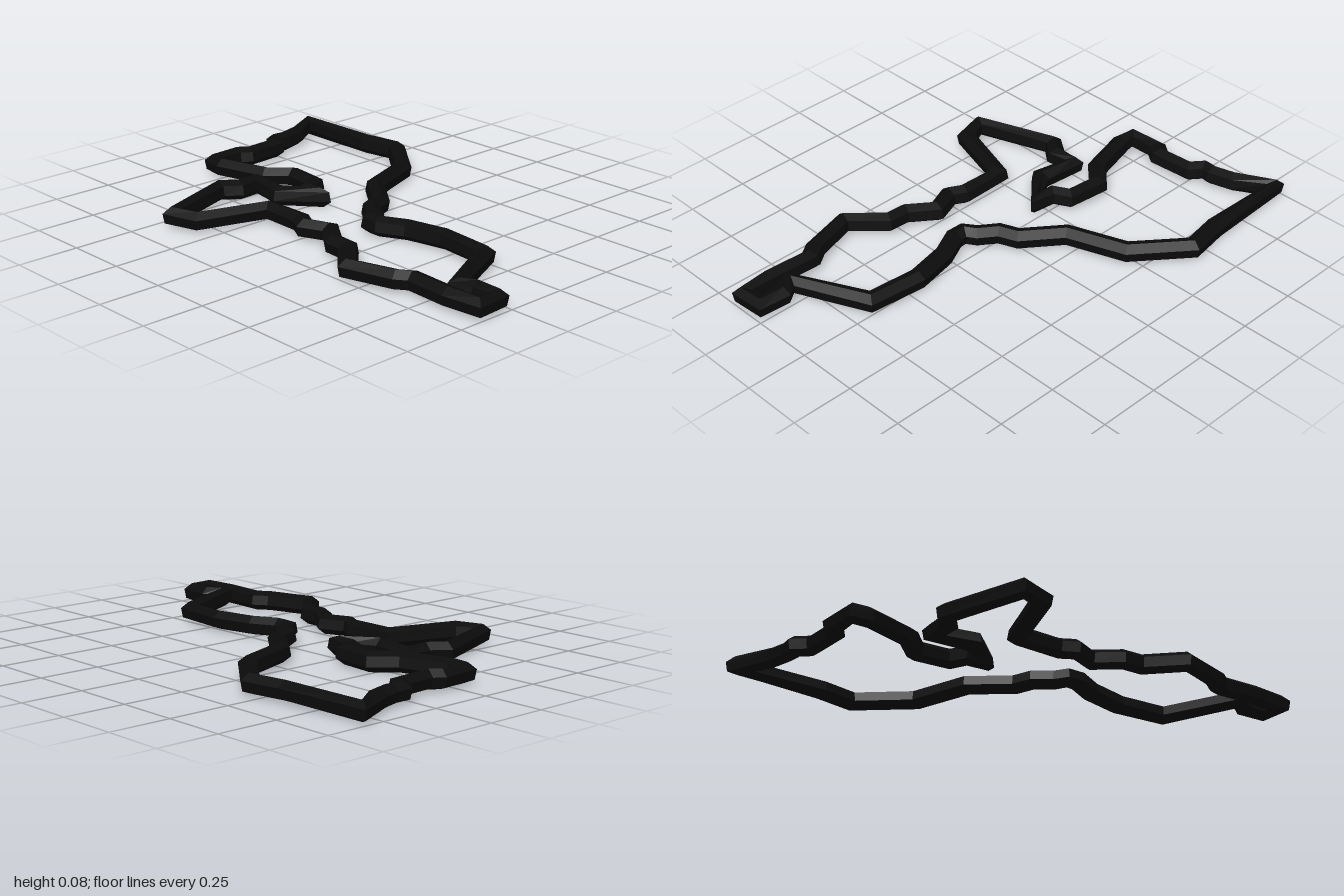
import * as THREE from 'three';

// Centre line of the closed border as [x, z], clockwise seen from above
const PATH = [
  // right side, going to the front
  [0.56, -0.965], [0.565, -0.59], [0.59, -0.435], [0.43, -0.235], [0.195, -0.15],
  [0.08, 0], [0.005, 0.03], [-0.045, 0.1], [-0.09, 0.13], [-0.09, 0.18],
  [-0.04, 0.28], [-0.005, 0.445], [-0.025, 0.66], [-0.32, 0.8],
  // small front hook
  [-0.285, 0.865], [-0.287, 0.965], [-0.383, 0.972], [-0.39, 0.835],
  // left side, going to the back
  [-0.38, 0.65], [-0.415, 0.6], [-0.47, 0.41], [-0.35, 0.285], [-0.345, 0.2],
  [-0.27, 0.1], [-0.31, 0], [-0.28, -0.055], [-0.28, -0.245], [-0.56, -0.335],
  [-0.595, -0.44], [-0.275, -0.555], [-0.21, -0.505], [-0.115, -0.51],
  // inlet and back edge
  [-0.14, -0.345], [-0.035, -0.21], [-0.03, -0.3], [0.035, -0.335], [0.05, -0.48],
  [-0.03, -0.56], [-0.085, -0.765], [-0.08, -0.83], [0.05, -0.835], [0.09, -0.805],
  [0.24, -0.815], [0.28, -0.865], [0.325, -0.86], [0.415, -0.885],
];
const SIDES = 6, RADIUS = 0.04, ROLL = Math.PI / 9;

// Sweep a slightly rolled hexagon around the closed path
function sweptLoop(path) {
  const points = path.map(([x, z]) => new THREE.Vector2(x, z));
  const n = points.length, positions = [], index = [];
  points.forEach((p, i) => {
    const before = p.clone().sub(points[(i + n - 1) % n]).normalize();
    const after = points[(i + 1) % n].clone().sub(p).normalize();
    const t = before.clone().add(after).normalize();
    // widen corners a little so the bar keeps its thickness
    const miter = Math.min(1.08, 1 / Math.max(t.dot(after), 0.1));
    for (let k = 0; k < SIDES; k++) {
      const a = ROLL + (k / SIDES) * Math.PI * 2;
      const out = Math.cos(a) * RADIUS * miter;
      positions.push(p.x + t.y * out, RADIUS + Math.sin(a) * RADIUS, p.y - t.x * out);
      const k2 = (k + 1) % SIDES, here = i * SIDES, next = ((i + 1) % n) * SIDES;
      index.push(here + k, here + k2, next + k, here + k2, next + k2, next + k);
    }
  });
  const geometry = new THREE.BufferGeometry();
  geometry.setAttribute('position', new THREE.Float32BufferAttribute(positions, 3));
  geometry.setIndex(index);
  geometry.computeVertexNormals();
  return geometry;
}

export function createModel() {
  const model = new THREE.Group();
  model.name = 'borderOutline';
  const material = new THREE.MeshStandardMaterial({ color: 0x0c0c0c, flatShading: true });
  const border = new THREE.Mesh(sweptLoop(PATH), material);
  border.name = 'borderBar';
  model.add(border);
  return model;
}
